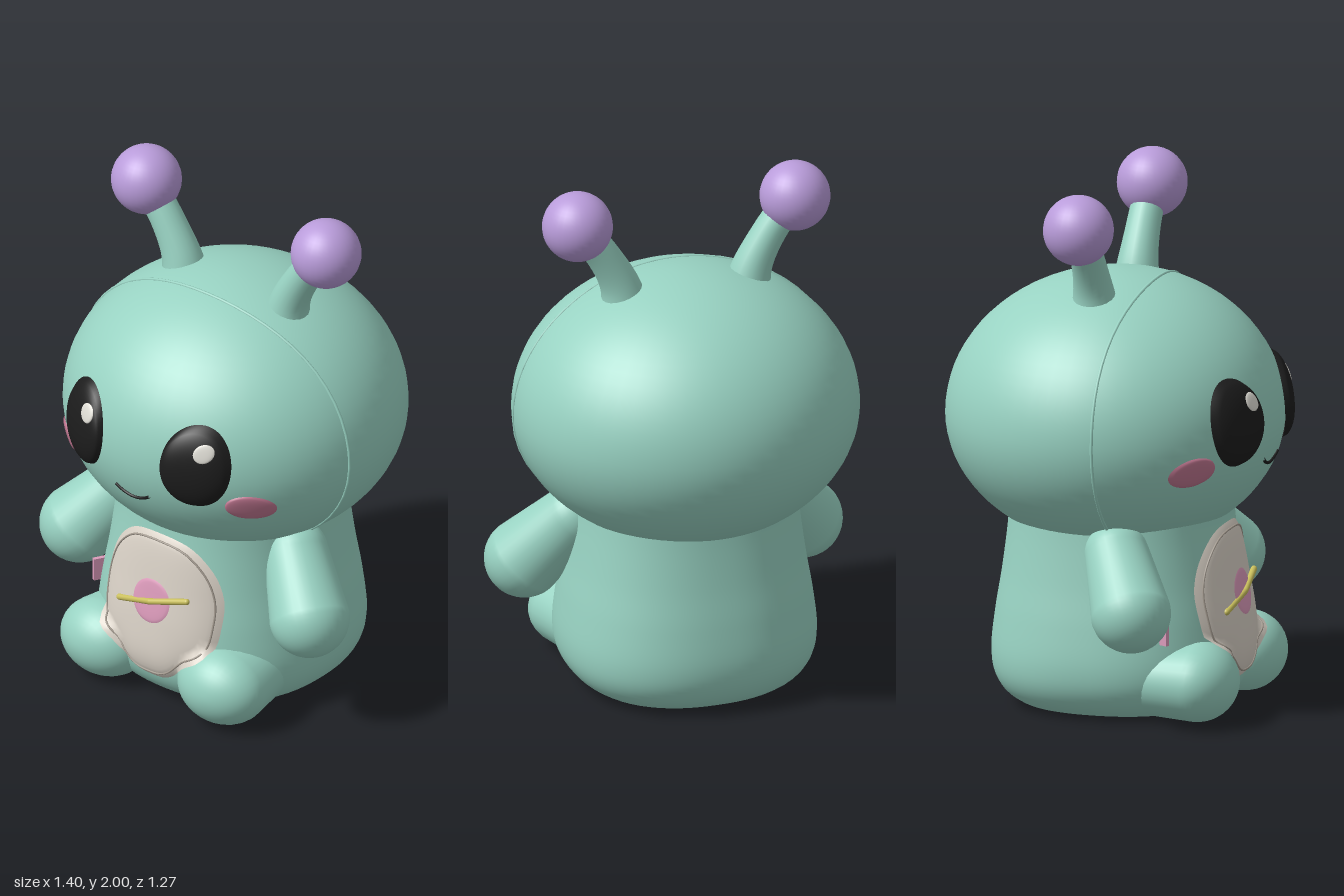
import * as THREE from 'three';
import { mergeVertices } from 'three/addons/utils/BufferGeometryUtils.js';

const mat = (name, color, side = THREE.FrontSide) => {
  const m = new THREE.MeshStandardMaterial({ color, side });
  m.name = name;
  return m;
};
const V = (x, y, z) => new THREE.Vector3(x, y, z);

// Head: ellipsoid with different upper/lower and front/back radii
const HEAD = { y: 1.09, x: 0.65, up: 0.54, down: 0.5, front: 0.62, back: 0.64 };
const headZ = (x, y) => {
  const v = (y - HEAD.y) / (y > HEAD.y ? HEAD.up : HEAD.down);
  return HEAD.front * Math.sqrt(Math.max(0, 1 - v * v - (x / HEAD.x) ** 2));
};

// Body: turned profile with a slightly squared plan
const N = 2.3, FRONT = 1.03, BACK = 0.95;
const profile = new THREE.SplineCurve([
  [0, 0], [0.3, 0], [0.4, 0.03], [0.46, 0.1], [0.48, 0.2], [0.465, 0.35], [0.44, 0.5], [0.42, 0.65], [0.41, 0.76],
].map(p => new THREE.Vector2(...p))).getPoints(48).map(p => p.setY(Math.max(0, p.y)));
profile[0].x = 0;
const bodyZ = (x, y) => {
  let i = profile.findIndex(p => p.y >= y && p.x > 0.35);
  const a = profile[Math.max(1, i) - 1], b = profile[Math.max(1, i)];
  const r = THREE.MathUtils.lerp(a.x, b.x, THREE.MathUtils.clamp((y - a.y) / (b.y - a.y || 1), 0, 1));
  return FRONT * Math.pow(Math.max(0, r ** N - Math.abs(x) ** N), 1 / N);
};

// Front of the legs, so the belly panel can drape over them
const LEG = { x: 0.28, y: 0.15, z: 0.41, r: 0.15, wide: 1.22 };
const legZ = (x, y) => {
  const d = LEG.r ** 2 - ((Math.abs(x) - LEG.x) / LEG.wide) ** 2 - (y - LEG.y) ** 2;
  return d > 0 ? LEG.z + Math.sqrt(d) : 0;
};
const bellyZ = (x, y) => Math.max(bodyZ(x, y), legZ(x, y));

function smooth(geo) {
  geo.deleteAttribute('uv');
  geo.deleteAttribute('normal');
  const g = mergeVertices(geo, 1e-5);
  g.computeVertexNormals();
  return g;
}

// Moves every vertex by a rule
function reshape(geo, rule) {
  const p = geo.attributes.position, v = V(0, 0, 0);
  for (let i = 0; i < p.count; i++) {
    v.fromBufferAttribute(p, i);
    rule(v);
    p.setXYZ(i, v.x, v.y, v.z);
  }
  return smooth(geo);
}

// Thin skin laid on a surface: outline(t) gives offsets from the centre
function patch(cx, cy, outline, surface, lift) {
  return reshape(new THREE.RingGeometry(0, 1, 64, 14), v => {
    const r = Math.min(1, Math.hypot(v.x, v.y));
    const t = (Math.atan2(v.y, v.x) / (2 * Math.PI) + 1) % 1;
    const [ox, oy] = outline(t);
    const x = cx + ox * r, y = cy + oy * r;
    v.set(x, y, surface(x, y) + lift * Math.sqrt(Math.max(0, 1 - r ** 4)) + 0.002);
  });
}
const oval = (rx, ry) => t => [rx * Math.cos(t * 2 * Math.PI), ry * Math.sin(t * 2 * Math.PI)];

// Tapered capsule between two points
function limb(a, b, ra, rb) {
  const len = a.distanceTo(b), pts = [], k = 12;
  for (let i = 0; i <= k; i++) {
    const t = (i / k - 1) * Math.PI / 2;
    pts.push(new THREE.Vector2(ra * Math.cos(t), ra * Math.sin(t)));
  }
  for (let i = 0; i <= k; i++) {
    const t = (i / k) * Math.PI / 2;
    pts.push(new THREE.Vector2(rb * Math.cos(t), len + rb * Math.sin(t)));
  }
  pts[0].x = pts[pts.length - 1].x = 0;
  const g = smooth(new THREE.LatheGeometry(pts, 32));
  g.applyQuaternion(new THREE.Quaternion().setFromUnitVectors(V(0, 1, 0), b.clone().sub(a).normalize()));
  return g.translate(a.x, a.y, a.z);
}
const tube = (pts, r, closed = false) =>
  new THREE.TubeGeometry(new THREE.CatmullRomCurve3(pts, closed), closed ? 96 : 40, r, 8, closed);

export function createModel() {
  const model = new THREE.Group();
  model.name = 'plushToy';
  const teal = mat('tealFabric', 0x98d2c2, THREE.DoubleSide);
  const lilac = mat('lilacFabric', 0xb99cda);
  const black = mat('eyeBlack', 0x1c1c1c, THREE.DoubleSide);
  const cream = mat('creamFabric', 0xd9d1c6, THREE.DoubleSide);
  const white = mat('highlightWhite', 0xdedcd4, THREE.DoubleSide);
  const rose = mat('cheekRose', 0xbf7690, THREE.DoubleSide);
  const pink = mat('badgePink', 0xdc9bbb, THREE.DoubleSide);
  const yellow = mat('barYellow', 0xc8be5c);
  const thread = mat('threadTan', 0xa39a8f);
  const add = (name, geo, m) => {
    const mesh = new THREE.Mesh(geo, m);
    mesh.name = name;
    model.add(mesh);
    return mesh;
  };

  // Head and its seam
  add('head', reshape(new THREE.SphereGeometry(1, 56, 40), v => v.set(
    v.x * HEAD.x,
    HEAD.y + v.y * (v.y > 0 ? HEAD.up : HEAD.down),
    v.z * (v.z > 0 ? HEAD.front : HEAD.back))), teal);
  const seam = [];
  for (let i = 0; i <= 40; i++) {
    const a = THREE.MathUtils.degToRad(-45 + i * 270 / 40), s = Math.sin(a);
    const z = 0.11 + 0.05 * Math.max(0, s) ** 4, k = Math.sqrt(1 - (z / HEAD.front) ** 2);
    seam.push(V(HEAD.x * k * Math.cos(a), HEAD.y + (s > 0 ? HEAD.up : HEAD.down) * k * s, z));
  }
  add('headSeam', tube(seam, 0.006), teal);

  // Body
  add('body', reshape(new THREE.LatheGeometry(profile, 64), v => {
    const r = Math.hypot(v.x, v.z);
    if (r < 1e-6) return;
    const f = (Math.abs(v.x / r) ** N + Math.abs(v.z / r) ** N) ** (-1 / N);
    v.x *= f;
    v.z *= f * (v.z > 0 ? FRONT : BACK);
  }), teal);

  for (const [side, s] of [['left', 1], ['right', -1]]) {
    // Limbs
    add(side + 'Arm', limb(V(s * 0.4, 0.64, 0.13), V(s * 0.55, 0.455, 0.235), 0.12, 0.15), teal);
    const leg = limb(V(-s * 0.04, LEG.y, 0.1), V(0, LEG.y, LEG.z), 0.14, LEG.r);
    leg.scale(LEG.wide, 1, 1).translate(s * LEG.x, 0, 0);
    leg.computeVertexNormals();
    add(side + 'Leg', leg, teal);

    // Antenna: bent stalk, flared at the base, with a ball
    const path = new THREE.CatmullRomCurve3([[0.235, 1.5], [0.262, 1.61], [0.325, 1.73], [0.42, 1.86]]
      .map(([x, y]) => V(s * x, y, -0.008)));
    const stalk = new THREE.TubeGeometry(path, 20, 1, 20);
    const p = stalk.attributes.position;
    for (let i = 0; i < p.count; i++) {
      const t = Math.floor(i / 21) / 20, c = path.getPointAt(t);
      const r = 0.062 + 0.035 * (1 - t) ** 3;
      p.setXYZ(i, c.x + (p.getX(i) - c.x) * r, c.y + (p.getY(i) - c.y) * r, c.z + (p.getZ(i) - c.z) * r);
    }
    add(side + 'AntennaStalk', smooth(stalk), teal);
    add(side + 'AntennaBall', new THREE.SphereGeometry(0.132, 32, 24), lilac).position.set(s * 0.43, 1.868, -0.01);

    // Face
    const ex = s * 0.263, ey = 1.14;
    const eyeZ = (x, y) => headZ(x, y) +
      0.034 * Math.sqrt(Math.max(0, 1 - (((x - ex) / 0.125) ** 2 + ((y - ey) / 0.165) ** 2) ** 2));
    add(side + 'Eye', patch(ex, ey, oval(0.125, 0.165), headZ, 0.034), black);
    add(side + 'EyeHighlight', patch(ex + 0.044, 1.215, oval(0.034, 0.035), eyeZ, 0.005), white);
    add(side + 'Cheek', patch(s * 0.432, 0.977, oval(0.071, 0.057), headZ, 0.012), rose);
  }

  // Smile
  const smile = [-0.08, -0.045, 0, 0.045, 0.08].map(x => {
    const y = 0.937 + 4.5 * x * x;
    return V(x, y, headZ(x, y) + 0.002);
  });
  add('smile', tube(smile, 0.006), black);

  // Belly panel with stitched border
  const half = [[0.13, 0.68], [0.22, 0.6], [0.265, 0.5], [0.272, 0.4], [0.25, 0.28], [0.165, 0.215], [0.095, 0.145], [0.05, 0.125]];
  const cy = 0.42;
  const ring = [[0, 0.7], ...half, [0, 0.122], ...half.slice().reverse().map(([x, y]) => [-x, y])];
  const edge = new THREE.CatmullRomCurve3(ring.reverse().map(([x, y]) => V(x, y - cy, 0)), true);
  const start = 0.75;
  const outline = t => {
    const q = edge.getPointAt((t + start) % 1);
    return [q.x, q.y];
  };
  add('bellyPanel', patch(0, cy, outline, bellyZ, 0.025), cream);
  const stitch = [];
  for (let i = 0; i < 60; i++) {
    const [x, y] = outline(i / 60).map(c => c * 0.92);
    stitch.push(V(x, cy + y, bellyZ(x, cy + y) + 0.016));
  }
  add('bellyStitching', tube(stitch, 0.004, true), thread);
  const panelZ = (x, y) => bellyZ(x, y) + 0.026;
  add('bellyBadge', patch(0, 0.44, oval(0.085, 0.085), panelZ, 0.005), pink);
  const bar = [-0.16, -0.08, 0, 0.08, 0.16].map(x => V(x, 0.44 + x * 0.3, panelZ(x, 0.44) + 0.008));
  add('bellyBar', limb(bar[0], bar[2], 0.012, 0.012), yellow);
  add('bellyBar', limb(bar[2], bar[4], 0.012, 0.012), yellow);

  // Side tag
  const tag = add('sideTag', new THREE.BoxGeometry(0.016, 0.09, 0.07), pink);
  tag.position.set(-0.39, 0.35, 0.3);
  tag.rotation.y = -0.5;
  return model;
}
